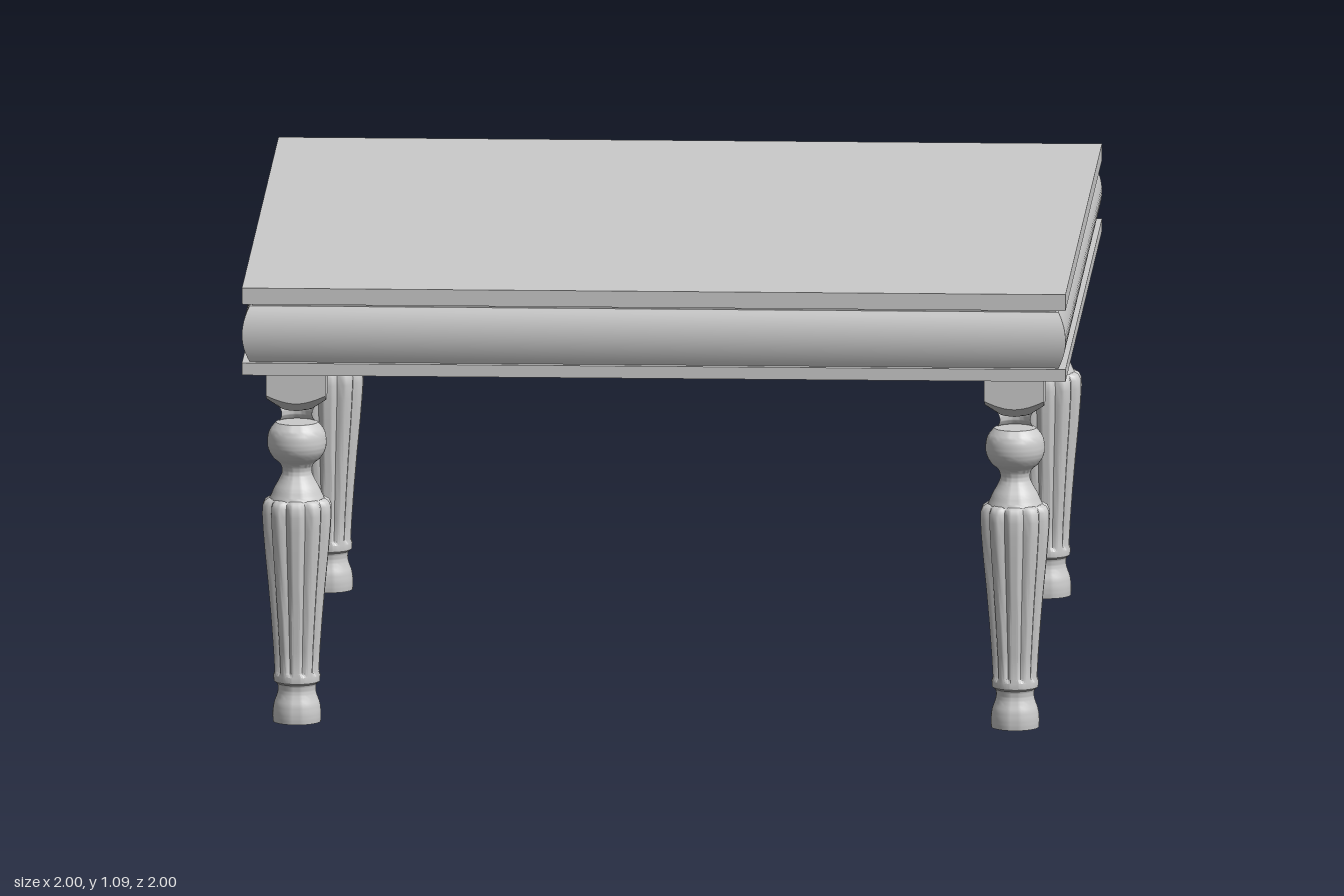
import * as THREE from 'three';
import { toCreasedNormals } from 'three/addons/utils/BufferGeometryUtils.js';

const material = new THREE.MeshStandardMaterial({ color: 0xcccccc });

function part(name, geometry, crease = 0.6) {
  const mesh = new THREE.Mesh(toCreasedNormals(geometry, crease), material);
  mesh.name = name;
  return mesh;
}

const points = (list) => list.map(([r, y]) => new THREE.Vector2(r, y));

// Square moulding: a profile of [half width, height] swept round four sides
function squareMoulding(name, profile) {
  const geo = new THREE.LatheGeometry(points(profile), 4);
  geo.rotateY(Math.PI / 4);
  geo.scale(Math.SQRT2, 1, Math.SQRT2);
  return part(name, geo);
}

// Turned part: smooth curve through a few profile points, closed at both ends
function turned(name, profile, samples = 40) {
  const curve = new THREE.SplineCurve(points(profile));
  const pts = curve.getPoints(samples);
  const [first, last] = [pts[0], pts[samples]];
  return part(name, new THREE.LatheGeometry(
    [new THREE.Vector2(0, first.y), ...pts, new THREE.Vector2(0, last.y)], 40), 0.7);
}

// Square leg block whose underside is cut by a cone
function legBlock() {
  const half = 0.072, top = 0.88;
  const geo = new THREE.BoxGeometry(half * 2, 1, half * 2, 12, 1, 12);
  const p = geo.attributes.position;
  for (let i = 0; i < p.count; i++) {
    const r = Math.max(Math.hypot(p.getX(i), p.getZ(i)), 0.036);
    p.setY(i, p.getY(i) > 0 ? top : 0.795 + 0.67 * (r - half));
  }
  return part('legBlock', geo);
}

// Tapered shaft with ten rounded panels separated by narrow grooves
function flutedShaft() {
  const profile = points([[0, 0.095], [0.05, 0.095], [0.056, 0.1], [0.057, 0.115], [0.055, 0.125],
    [0.058, 0.18], [0.064, 0.26], [0.071, 0.34], [0.079, 0.42], [0.084, 0.48], [0.086, 0.515],
    [0.085, 0.535], [0.08, 0.546], [0.07, 0.552], [0, 0.552]]);
  const geo = new THREE.LatheGeometry(profile, 80);
  const p = geo.attributes.position;
  for (let i = 0; i < p.count; i++) {
    const x = p.getX(i), y = p.getY(i), z = p.getZ(i);
    if (y < 0.12) continue;
    const groove = Math.abs(Math.sin(5 * Math.atan2(x, z))) ** 6;
    const k = 1 - 0.13 * groove;
    p.setXYZ(i, x * k, y, z * k);
  }
  return part('flutedShaft', geo, 0.7);
}

function createLeg() {
  const leg = new THREE.Group();
  leg.name = 'leg';
  leg.add(
    legBlock(),
    // Neck under the block
    turned('upperNeck', [[0.055, 0.79], [0.041, 0.772], [0.037, 0.755], [0.042, 0.742],
      [0.05, 0.735]], 16),
    // Ball, waist and flared collar
    turned('ballAndCollar', [[0.067, 0.55], [0.061, 0.563], [0.055, 0.577], [0.043, 0.598],
      [0.036, 0.617], [0.041, 0.636], [0.057, 0.65], [0.069, 0.67], [0.072, 0.692],
      [0.067, 0.718], [0.051, 0.738]]),
    flutedShaft(),
    // Bell-shaped foot
    turned('foot', [[0.058, 0], [0.059, 0.02], [0.056, 0.045], [0.048, 0.068], [0.046, 0.085],
      [0.05, 0.097]], 20)
  );
  return leg;
}

export function createModel() {
  const table = new THREE.Group();
  table.name = 'table';

  // Flat top slab
  table.add(squareMoulding('tableTop', [[0, 1.05], [1, 1.05], [1, 1.09], [0, 1.09]]));

  // Apron bulging outward, with a thin recess beneath the slab
  const bulge = [];
  for (let i = 0; i <= 12; i++) {
    const t = i / 12;
    bulge.push([0.982 + 0.018 * (1 - (2 * t - 1) ** 2), 0.905 + 0.138 * t]);
  }
  table.add(squareMoulding('apron', [...bulge, [0.975, 1.043], [0.975, 1.05]]));

  // Lower trim with a closed underside
  table.add(squareMoulding('lowerTrim', [[0, 0.875], [1, 0.875], [1, 0.905], [0.97, 0.905]]));

  // Four turned legs
  for (const sx of [-1, 1]) {
    for (const sz of [-1, 1]) {
      const leg = createLeg();
      leg.position.set(sx * 0.872, 0, sz * 0.875);
      table.add(leg);
    }
  }
  return table;
}
